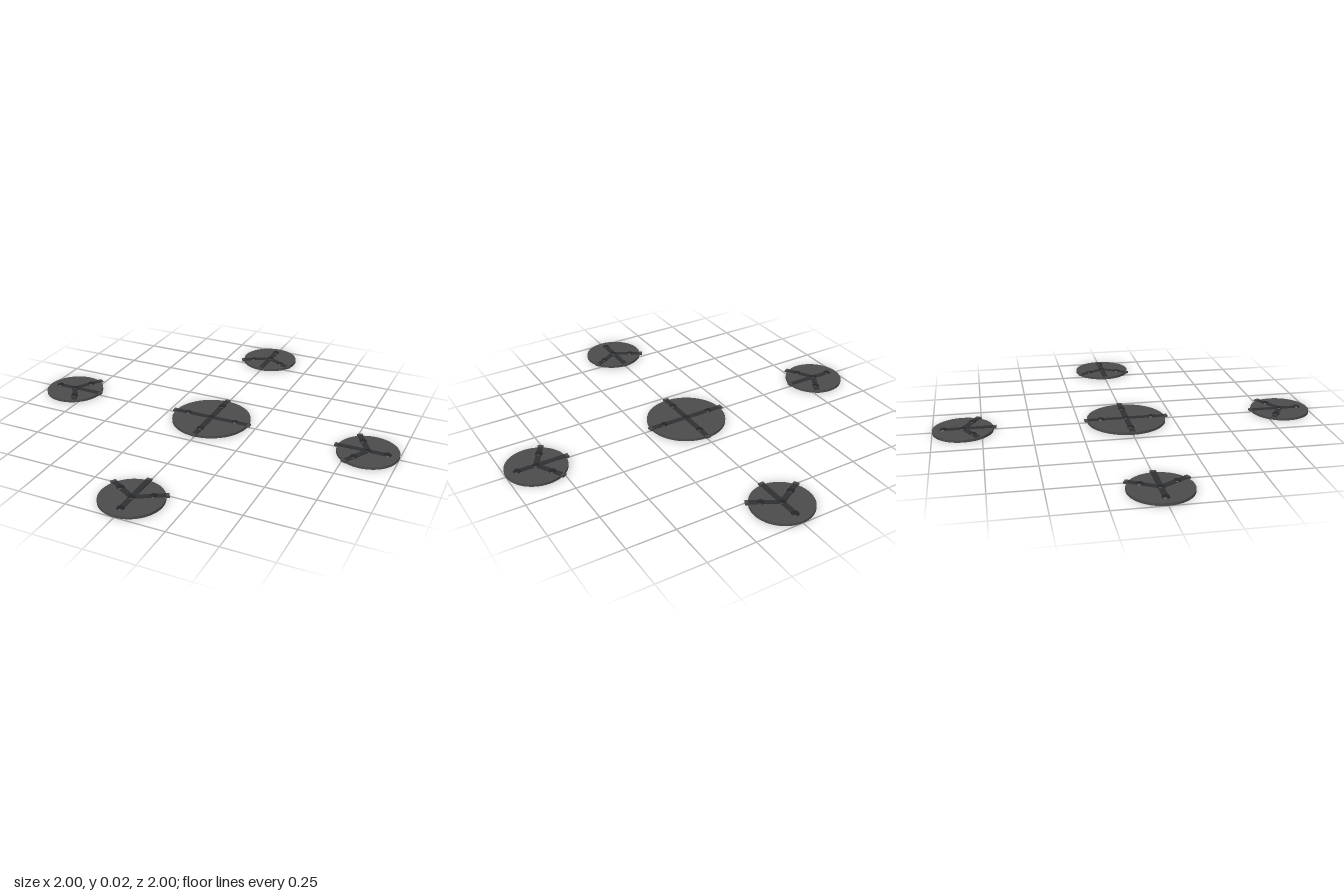
import * as THREE from 'three';

const plateMat = new THREE.MeshStandardMaterial({ color: 0x4c4c4c });
const armMat = new THREE.MeshStandardMaterial({ color: 0x303134 });
const boltMat = new THREE.MeshStandardMaterial({ color: 0x24272a });
const clipMat = new THREE.MeshStandardMaterial({ color: 0x48494c });

function add(parent, name, geometry, material, x, y, z) {
  const mesh = new THREE.Mesh(geometry, material);
  mesh.name = name;
  mesh.position.set(x, y, z);
  parent.add(mesh);
}

function addBolt(parent, x, height) {
  add(parent, 'bolt', new THREE.CylinderGeometry(0.016, 0.019, height, 16), boltMat, x, 0.013 + height / 2, 0);
}

// A radial strap along +x, optionally with a bolt and a clip over the plate's rim
function makeArm({ length, angle, bolt, clip }) {
  const arm = new THREE.Group();
  arm.name = 'arm';
  add(arm, 'strap', new THREE.BoxGeometry(length, 0.004, 0.028), armMat, length / 2, 0.014, 0);
  if (clip) {
    add(arm, 'rimClip', new THREE.BoxGeometry(0.016, 0.009, 0.028), clipMat, length - 0.006, 0.0125, 0);
  }
  if (bolt) addBolt(arm, bolt, 0.006);
  arm.rotation.y = angle;
  return arm;
}

// Round plate with straps on top
function makePad(name, radius, arms) {
  const pad = new THREE.Group();
  pad.name = name;
  add(pad, 'plate', new THREE.CylinderGeometry(radius, radius, 0.013, 64), plateMat, 0, 0.0065, 0);
  for (const arm of arms) pad.add(makeArm(arm));
  addBolt(pad, 0, 0.0045);
  return pad;
}

export function createModel() {
  const model = new THREE.Group();
  model.name = 'fivePads';

  // Large centre pad with a cross of four straps
  const cross = [0, 1, 2, 3].map((i) => (
    { length: 0.218, angle: i * Math.PI / 2, bolt: 0.135, clip: true }));
  model.add(makePad('centrePad', 0.206, cross));

  // Four outer pads; local +x points outward from the centre
  const outerArms = [
    { length: 0.1, angle: 0, bolt: 0.098 },
    { length: 0.168, angle: Math.PI, clip: true },
    { length: 0.168, angle: Math.PI * 2 / 3, bolt: 0.098, clip: true },
    { length: 0.168, angle: -Math.PI * 2 / 3, bolt: 0.098, clip: true },
  ];
  for (let i = 0; i < 4; i++) {
    const angle = i * Math.PI / 2;
    const pad = makePad('outerPad', 0.155, outerArms);
    pad.position.set(0.845 * Math.cos(angle), 0, -0.845 * Math.sin(angle));
    pad.rotation.y = angle;
    model.add(pad);
  }
  return model;
}
